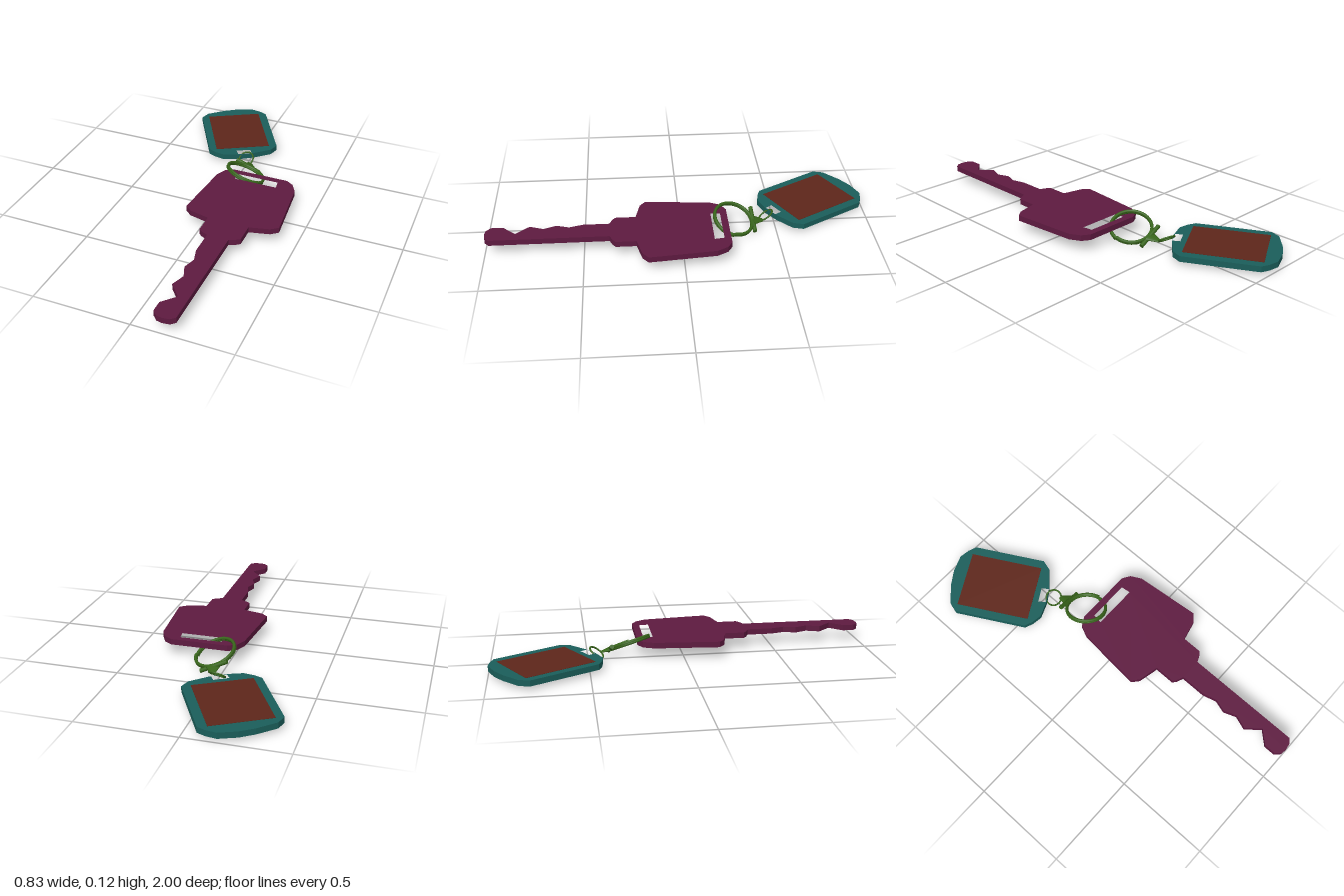
import * as THREE from 'three';

const material = color => new THREE.MeshStandardMaterial({ color });
const PURPLE = material(0x5e1a40), TEAL = material(0x1a5e5a);
const RUST = material(0x5e261a), GREEN = material(0x37641a);

// Flat plate from [x, z] outlines, lying between heights y0 and y1
function plate(name, mat, outline, y0, y1, hole) {
  const toPoints = list => list.map(([x, z]) => new THREE.Vector2(x, -z));
  const shape = new THREE.Shape(toPoints(outline));
  if (hole) shape.holes.push(new THREE.Path(toPoints(hole)));
  const geo = new THREE.ExtrudeGeometry(shape, { depth: y1 - y0, bevelEnabled: false });
  geo.rotateX(-Math.PI / 2).translate(0, y0, 0);
  const mesh = new THREE.Mesh(geo, mat);
  mesh.name = name;
  return mesh;
}

// Turn an object's local +y towards a direction
function aim(object, direction) {
  object.quaternion.setFromUnitVectors(new THREE.Vector3(0, 1, 0), direction.clone().normalize());
  return object;
}

// Wire wound in a circle around local y, rising by pitch per turn
class Coil extends THREE.Curve {
  constructor(radius, turns, pitch) {
    super();
    Object.assign(this, { radius, turns, pitch });
  }
  getPoint(t, target = new THREE.Vector3()) {
    const a = t * this.turns * Math.PI * 2;
    return target.set(Math.cos(a) * this.radius, (t - 0.5) * this.turns * this.pitch, Math.sin(a) * this.radius);
  }
}

function ring(name, center, normal, radius, wire, turns, pitch) {
  const geo = new THREE.TubeGeometry(new Coil(radius, turns, pitch), 48 * turns, wire, 10, pitch === 0);
  const mesh = new THREE.Mesh(geo, GREEN);
  mesh.name = name;
  mesh.position.set(...center);
  return aim(mesh, new THREE.Vector3(...normal));
}

// Round bar between two points
function bar(name, from, to, r0, r1) {
  const a = new THREE.Vector3(...from), b = new THREE.Vector3(...to);
  const d = b.clone().sub(a);
  const mesh = new THREE.Mesh(new THREE.CylinderGeometry(r1, r0, d.length(), 16), GREEN);
  mesh.name = name;
  mesh.position.copy(a).add(b).multiplyScalar(0.5);
  return aim(mesh, d);
}

export function createModel() {
  const model = new THREE.Group();
  model.name = 'keyWithTag';

  // Key: bow, shoulder and toothed blade in one outline, with a slot for the ring
  const rightSide = [
    [0.31, -0.24], [0.35, -0.215], [0.38, -0.16], [0.412, 0.18], [0.375, 0.21],
    [0.27, 0.235], [0.27, 0.34], [0.25, 0.355], [0.217, 0.37], [0.217, 0.975], [0.195, 0.995], [0.16, 1],
  ];
  const teeth = [
    [0.13, 0.995], [0.105, 0.97], [0.105, 0.91], [0.165, 0.845], [0.105, 0.775],
    [0.13, 0.705], [0.105, 0.64], [0.125, 0.575], [0.105, 0.505], [0.105, 0.37],
  ];
  const leftSide = [
    [0.07, 0.355], [0.052, 0.34], [0.052, 0.235], [-0.055, 0.21], [-0.09, 0.18],
    [-0.06, -0.16], [-0.035, -0.215], [0.01, -0.24],
  ];
  const slot = [[0.05, -0.205], [0.27, -0.205], [0.277, -0.155], [0.045, -0.155]];
  model.add(plate('key', PURPLE, [...rightSide, ...teeth, ...leftSide], 0.065, 0.095, slot));

  // Tag: half outline repeated by a half turn about its centre
  const [cx, cz] = [-0.15, -0.715];
  const half = [
    [-0.415, -0.79], [-0.4, -0.845], [-0.32, -0.92], [-0.255, -0.965],
    [-0.17, -1], [-0.115, -0.992], [-0.072, -0.975],
  ];
  const outline = [...half, ...half.map(([x, z]) => [2 * cx - x, 2 * cz - z])];
  const eye = [[-0.078, -0.498], [-0.01, -0.538], [0.012, -0.505], [-0.055, -0.465]];
  const tag = new THREE.Group();
  tag.name = 'tag';
  tag.add(plate('tagBody', TEAL, outline, 0.022, 0.052, eye));
  tag.add(plate('tagPanel', RUST,
    [[-0.115, -0.96], [0.075, -0.62], [-0.19, -0.47], [-0.38, -0.81]], 0.051, 0.0535));
  model.add(tag);

  // Two-turn key ring, tilted so it threads the slot
  model.add(ring('keyRing', [0.062, 0.066, -0.275], [0.33, 1, -0.33], 0.104, 0.008, 2, 0.008));

  // Small ring through the tag's eye
  model.add(ring('tagRing', [-0.003, 0.04, -0.455], [-0.2, 1, 0.72], 0.042, 0.0045, 1, 0));

  // Clasp joining both rings: cross bar with a flattened tapering neck
  const clasp = new THREE.Group();
  clasp.name = 'clasp';
  clasp.add(bar('claspBar', [-0.03, 0.075, -0.376], [0.105, 0.012, -0.386], 0.011, 0.011));
  const neck = bar('claspNeck', [0.04, 0.042, -0.378], [0.026, 0.03, -0.435], 0.038, 0.012);
  neck.scale.z = 0.3;
  neck.rotateY(0.4);
  clasp.add(neck);
  model.add(clasp);

  return model;
}
